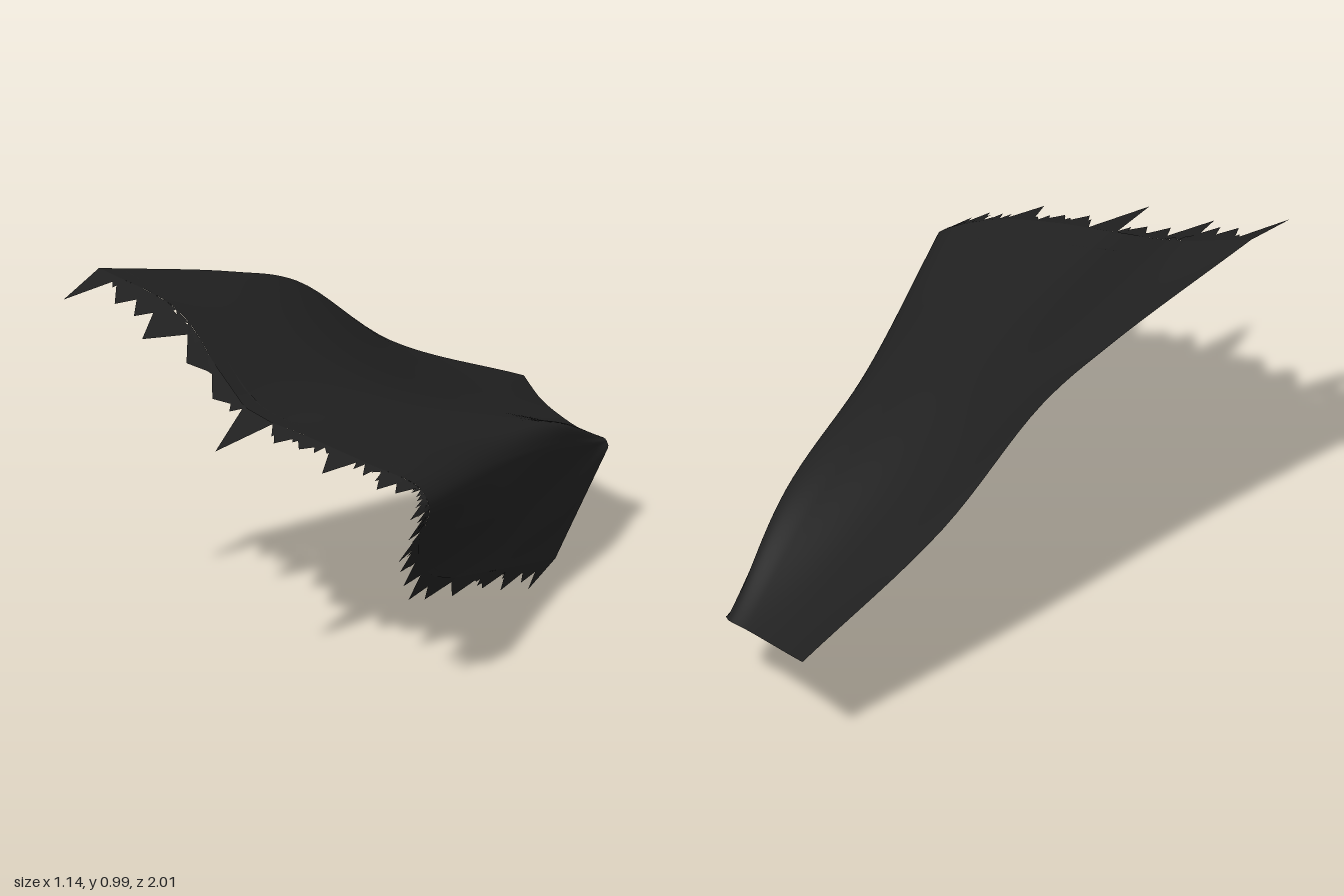
import * as THREE from 'three';

// Lengthwise folds of the upper cloth, collar to hem, from the left border to the outer corner
const TOP_FOLDS = [
  [[-.19, .32, -1], [-.31, .535, -.5], [-.395, .785, -.15], [-.45, .87, .1], [-.57, .995, .6]],
  [[-.1, .285, -.94], [-.17, .49, -.43], [-.24, .74, .06], [-.33, .915, .59]],
  [[0, .262, -.89], [-.01, .43, -.42], [0, .615, .12], [0, .735, .77]],
  [[.1, .247, -.85], [.165, .41, -.43], [.195, .55, .1], [.2, .69, .78]],
  [[.16, .245, -.837], [.265, .41, -.42], [.33, .505, .08], [.39, .64, .77]],
  [[.17, .244, -.833], [.295, .375, -.38], [.385, .465, .12], [.525, .585, .73]],
  [[.18, .242, -.825], [.297, .35, -.38], [.395, .43, .12], [.568, .535, .74]],
];
// Side panel folds, fanning down from the collar corner
const SIDE_FOLDS = [
  [[.185, .24, -.82], [.35, .33, -.1], [.505, .4, .7]],
  [[.19, .238, -.815], [.33, .255, -.15], [.43, .25, .5]],
  [[.195, .235, -.81], [.295, .165, -.36], [.36, .135, .04]],
  [[.2, .23, -.8], [.265, .11, -.51], [.3, .05, -.36]],
];
const FOLDS = [...TOP_FOLDS, ...SIDE_FOLDS];
const LAST = FOLDS.length - 1;

// Long tatters: [tip position across the folds, length]
const TATTERS = [
  [.03, .2], [.48, .12], [.75, .13], [1.02, .19], [1.4, .1], [1.75, .08], [2.23, .23], [2.75, .09],
  [3.1, .07], [3.65, .13], [4.5, .1], [4.8, .08], [5.8, .1], [6.3, .11], [6.7, .13], [7.1, .1],
  [7.5, .1], [7.9, .12], [8.2, .1], [8.6, .1], [9, .09], [9.4, .12], [9.7, .1], [9.97, .15],
];

function seeded(seed) {
  return () => (seed = (seed * 16807) % 2147483647) / 2147483647;
}

function makeGeometry(positions, indices) {
  const geo = new THREE.BufferGeometry();
  geo.setAttribute('position', new THREE.Float32BufferAttribute(positions, 3));
  if (indices) geo.setIndex(indices);
  geo.computeVertexNormals();
  return geo;
}

export function createModel() {
  const group = new THREE.Group();
  group.name = 'tatteredCape';
  const cloth = new THREE.MeshStandardMaterial({ color: 0x212121, side: THREE.DoubleSide });
  cloth.name = 'black cloth';

  const folds = FOLDS.map(f => new THREE.CatmullRomCurve3(f.map(p => new THREE.Vector3(...p))));
  const across = v => new THREE.CatmullRomCurve3(folds.map(f => f.getPoint(v)));

  // Main sheet
  const nu = 100, nv = 32, pos = [], idx = [];
  for (let j = 0; j <= nv; j++) {
    const row = across(j / nv);
    for (let i = 0; i <= nu; i++) {
      pos.push(...row.getPoint(i / nu).toArray());
      if (i < nu && j < nv) {
        const a = j * (nu + 1) + i, b = a + nu + 1;
        idx.push(a, b, a + 1, a + 1, b, b + 1);
      }
    }
  }
  const sheet = new THREE.Mesh(makeGeometry(pos, idx), cloth);
  sheet.name = 'capeCloth';
  group.add(sheet);

  // A tooth hangs forward from the hem, drooping more on the side panel
  const tooth = (out, row, u, half, lean, length, lift) => {
    const at = s => row.getPoint(THREE.MathUtils.clamp(s / LAST, 0, 1));
    const side = THREE.MathUtils.smoothstep(u, 5, 7);
    const dir = new THREE.Vector3(.03 * side, -.17 - .18 * side, 1).normalize();
    const tip = at(u + lean).addScaledVector(dir, length);
    tip.y = Math.max(0, tip.y + lift);
    out.push(...at(u - half).toArray(), ...tip.toArray(), ...at(u + half).toArray());
  };
  const addTeeth = (name, list) => {
    const mesh = new THREE.Mesh(makeGeometry(list), cloth);
    mesh.name = name;
    group.add(mesh);
  };

  // Long tatters along the hem
  const hem = across(1), long = [];
  TATTERS.forEach(([u, length]) => tooth(long, hem, u, .25, 0, length, 0));
  addTeeth('longTatters', long);

  // Short frayed threads between them, in two layers
  const rand = seeded(77), fray = [];
  [[1, 0], [.96, .016]].forEach(([v, lift]) => {
    const row = across(v);
    for (let k = 0; k < 60; k++) {
      const u = (k + .5) / 60 * LAST, half = .08 + .06 * rand();
      tooth(fray, row, u, half, (rand() - .5) * .14, .025 + .05 * rand(), lift * (rand() - .2));
    }
  });
  addTeeth('frayedHem', fray);

  return group;
}
